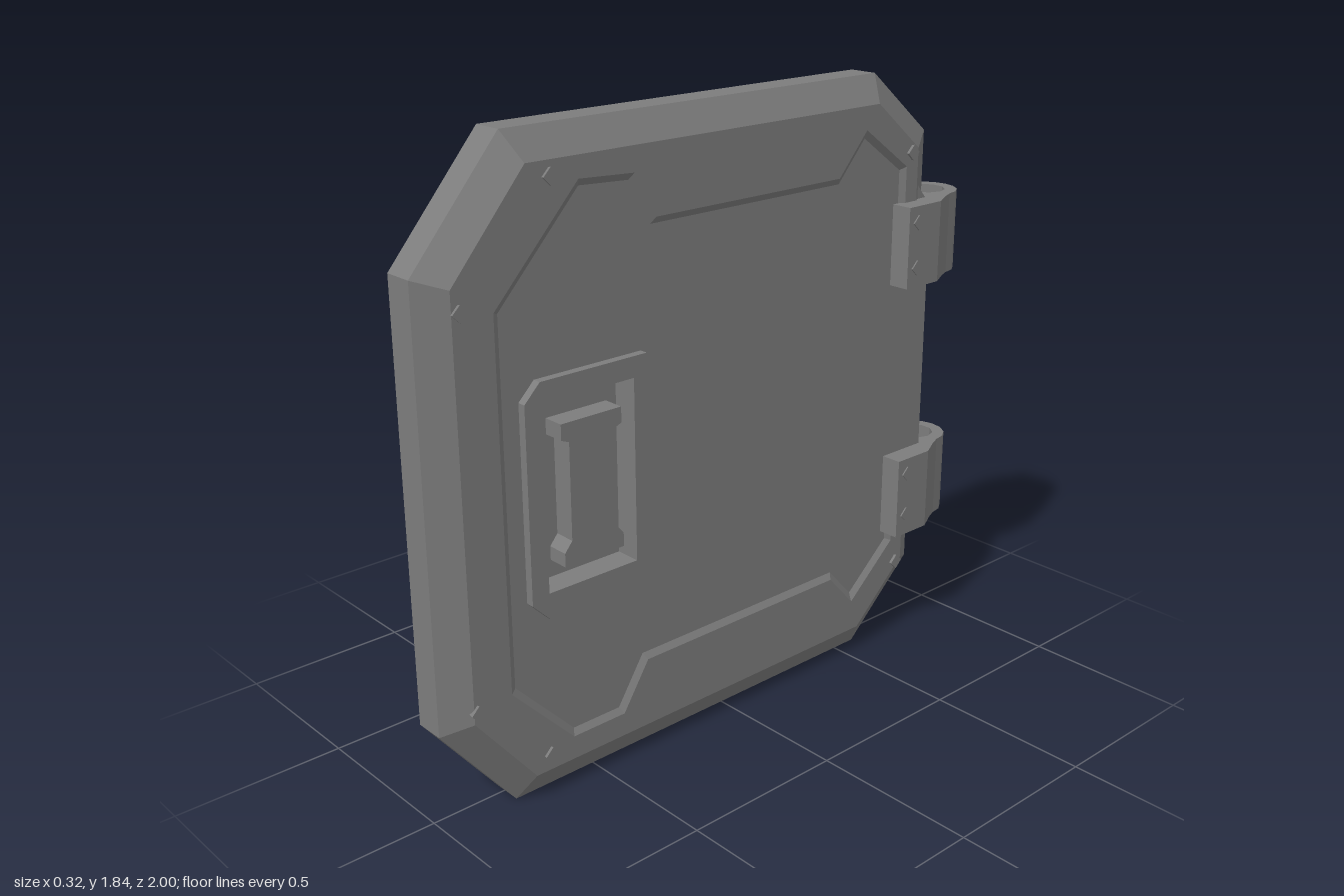
import * as THREE from 'three';

const steel = new THREE.MeshStandardMaterial({ color: 0x7c7c7c, flatShading: true });
steel.name = 'grey steel';

const polygon = (pts) => pts.map(([a, b]) => new THREE.Vector2(a, b));

// Side-on slab: outline in (z, y), filling x from x0 to x1, with an optional bevelled edge
function slab(name, pts, x0, x1, { hole, bevel = 0, grow = 0 } = {}) {
  const shape = new THREE.Shape(polygon(pts));
  if (hole) shape.holes.push(new THREE.Path(polygon(hole)));
  const geo = new THREE.ExtrudeGeometry(shape, {
    depth: x1 - x0 - 2 * bevel, bevelEnabled: bevel > 0,
    bevelThickness: bevel, bevelSize: grow, bevelSegments: 1,
  });
  geo.rotateY(-Math.PI / 2).translate(x1 - bevel, 0, 0);
  const mesh = new THREE.Mesh(geo, steel);
  mesh.name = name;
  return mesh;
}

// Rectangle in (z, y)
const rect = (z0, z1, y0, y1) => [[z0, y0], [z1, y0], [z1, y1], [z0, y1]];

// Hinge: clamp block with a round knuckle and an open pin hole, extruded upward
function hinge(name, y0, y1) {
  const pts = [[-0.145, 0.66], [-0.145, 0.8], [-0.11, 0.865]];
  for (let i = 0; i <= 8; i++) {
    const a = Math.PI * (1 - i / 8);
    pts.push([0.01 + 0.1 * Math.cos(a), 0.9 + 0.1 * Math.sin(a)]);
  }
  pts.push([0.125, 0.865], [0.16, 0.8], [0.16, 0.66]);
  const shape = new THREE.Shape(polygon(pts));
  const pin = [];
  for (let i = 0; i < 10; i++) {
    const a = (i / 10) * Math.PI * 2;
    pin.push([0.01 + 0.062 * Math.cos(a), 0.902 + 0.062 * Math.sin(a)]);
  }
  shape.holes.push(new THREE.Path(polygon(pin)));
  const geo = new THREE.ExtrudeGeometry(shape, { depth: y1 - y0, bevelEnabled: false });
  geo.rotateX(-Math.PI / 2).translate(0, y0, 0);
  const mesh = new THREE.Mesh(geo, steel);
  mesh.name = name;
  return mesh;
}

export function createModel() {
  const door = new THREE.Group();
  door.name = 'hatchDoor';

  // Raised bevelled rim, open on the hinge side
  const rim = [
    [-0.75, 1.42], [-0.75, 1.61], [-0.57, 1.76], [0.69, 1.76], [0.92, 1.49],
    [0.92, 0.317], [0.73, 0.08], [-0.55, 0.08], [-0.75, 0.265], [-0.75, 0.42],
    [-0.7, 0.42], [-0.7, 0.34], [-0.52, 0.18], [-0.42, 0.29], [0.33, 0.29],
    [0.42, 0.15], [0.6, 0.15], [0.8, 0.36], [0.8, 1.41], [0.53, 1.7],
    [0.35, 1.69], [0.28, 1.565], [-0.41, 1.565], [-0.52, 1.69], [-0.7, 1.56], [-0.7, 1.42],
  ];
  door.add(slab('rim', rim, -0.085, 0.105, { bevel: 0.05, grow: 0.08 }));

  // Sunken panel with an opening for the handle
  const panel = [
    [-0.83, 0.42], [-0.83, 1.42], [-0.72, 1.55], [-0.5, 1.72], [0.55, 1.73],
    [0.85, 1.42], [0.85, 0.35], [0.62, 0.12], [-0.5, 0.12], [-0.72, 0.3],
  ];
  door.add(slab('panel', panel, -0.073, 0.093, { hole: rect(0.36, 0.69, 0.61, 1.16) }));

  // Handle surround, recess floor and grip
  const surround = [
    [0.73, 1.16], [0.68, 1.21], [0.33, 1.21], [0.28, 1.15],
    [0.28, 0.6], [0.34, 0.54], [0.67, 0.54], [0.73, 0.6],
  ];
  door.add(slab('handleSurround', surround, -0.097, 0.118, { hole: rect(0.375, 0.675, 0.62, 1.15) }));
  door.add(slab('recessFloor', rect(0.36, 0.69, 0.61, 1.16), -0.02, 0.04));
  const grip = [
    [0.41, 0.67], [0.61, 0.67], [0.61, 0.71], [0.585, 0.74], [0.585, 1.02], [0.61, 1.03],
    [0.61, 1.075], [0.41, 1.075], [0.41, 1.03], [0.435, 1.02], [0.435, 0.74], [0.41, 0.71],
  ];
  door.add(slab('handle', grip, -0.16, 0.105));

  // Hinges
  door.add(hinge('upperHinge', 1.2, 1.45), hinge('lowerHinge', 0.38, 0.64));

  // Small bolts on both faces of the rim and hinges
  const boltGeo = new THREE.CylinderGeometry(0.018, 0.024, 0.03, 4).rotateZ(Math.PI / 2);
  const addBolt = (x, y, z) => {
    const bolt = new THREE.Mesh(boltGeo, steel);
    bolt.name = 'bolt';
    bolt.position.set(x, y, z);
    door.add(bolt);
  };
  const spots = [[0.62, 1.72], [0.9, 1.43], [0.91, 0.35], [0.68, 0.13], [-0.72, 1.6], [-0.72, 0.26]];
  for (const [z, y] of spots) for (const x of [-0.08, 0.1]) addBolt(x, y, z);
  for (const y of [0.45, 0.59, 1.26, 1.4]) for (const x of [-0.135, 0.15]) addBolt(x, y, -0.7);

  return door;
}
